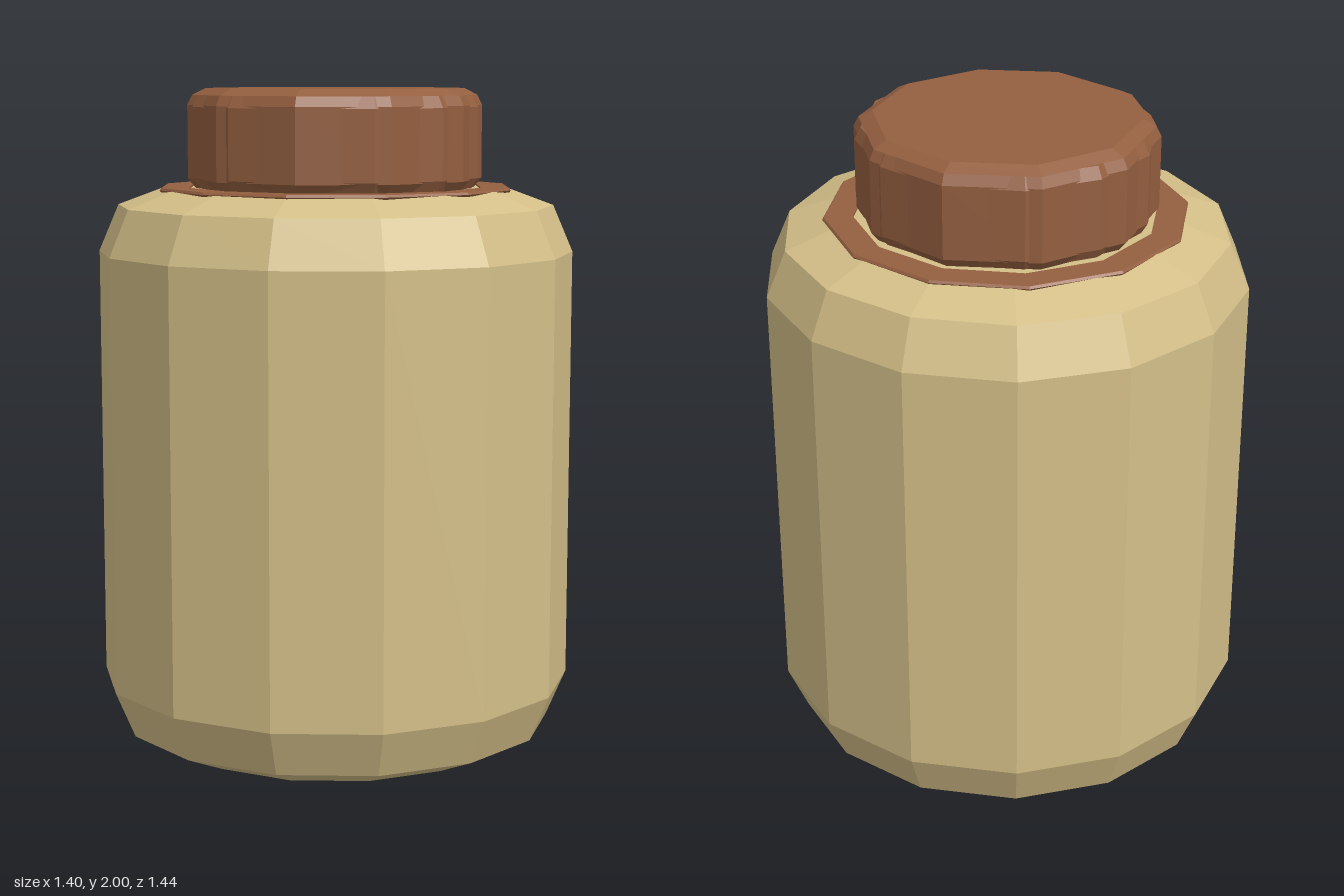
import * as THREE from 'three';

const clay = new THREE.MeshStandardMaterial({ color: 0xd4bf88 });
clay.name = 'sandy clay';
const brown = new THREE.MeshStandardMaterial({ color: 0x945f40 });
brown.name = 'brown';

// Faceted turned part from a [radius, height] profile, listed bottom to top
function turned(name, profile, sides, material) {
  const points = profile.map(([r, y]) => new THREE.Vector2(r, y));
  const geometry = new THREE.LatheGeometry(points, sides).toNonIndexed();
  geometry.computeVertexNormals();
  const mesh = new THREE.Mesh(geometry, material);
  mesh.name = name;
  return mesh;
}

export function createModel() {
  const jar = new THREE.Group();
  jar.name = 'jar';

  // Body with bevelled foot and shoulder
  jar.add(turned('body', [
    [0, 0], [0.52, 0], [0.66, 0.06], [0.72, 0.2],
    [0.72, 1.51], [0.66, 1.65], [0.52, 1.702], [0, 1.702],
  ], 14, clay));

  // Flat collar around the mouth
  jar.add(turned('collar', [
    [0.45, 1.694], [0.535, 1.694], [0.54, 1.7], [0.535, 1.707],
    [0.45, 1.707], [0.45, 1.694],
  ], 12, brown));

  // Stopper: bevelled lid with a band of a different side count showing through
  const stopper = new THREE.Group();
  stopper.name = 'stopper';
  stopper.add(turned('lid', [
    [0, 1.7], [0.42, 1.7], [0.445, 1.73], [0.445, 1.95], [0.43, 1.98], [0.39, 2], [0, 2],
  ], 10, brown));
  stopper.add(turned('lidBand', [
    [0, 1.705], [0.42, 1.705], [0.438, 1.735], [0.438, 1.945], [0.42, 1.98], [0, 1.98],
  ], 12, brown));
  jar.add(stopper);

  return jar;
}
